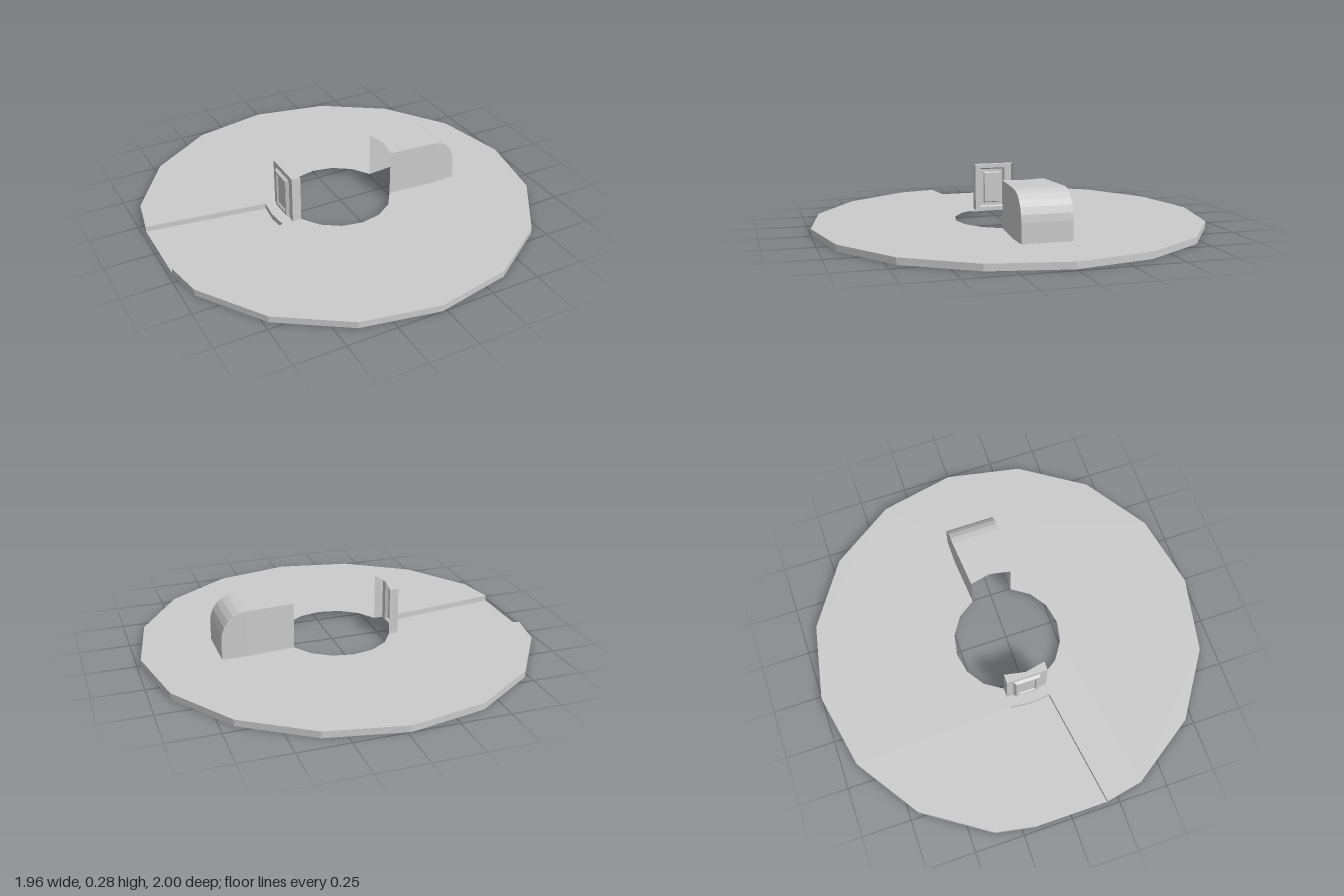
import * as THREE from 'three';

const TOP = 0.033, FLOOR = 0.004, CX = -0.02;

const material = new THREE.MeshStandardMaterial({
  color: 0xcccccc, flatShading: true, side: THREE.DoubleSide,
});

// Surface through rows of [x, y, z] points
function loft(name, rows) {
  const pos = [];
  for (let i = 0; i + 1 < rows.length; i++) {
    for (let j = 0; j + 1 < rows[i].length; j++) {
      const a = rows[i][j], b = rows[i][j + 1], c = rows[i + 1][j + 1], d = rows[i + 1][j];
      pos.push(...a, ...b, ...c, ...a, ...c, ...d);
    }
  }
  const g = new THREE.BufferGeometry();
  g.setAttribute('position', new THREE.Float32BufferAttribute(pos, 3));
  g.computeVertexNormals();
  return mesh(name, g);
}

function mesh(name, geometry) {
  const m = new THREE.Mesh(geometry, material);
  m.name = name;
  return m;
}

// Flat horizontal plate from [x, z] outlines
function plate(name, outline, y, hole) {
  const toPoints = (list) => list.map(([x, z]) => new THREE.Vector2(x, -z));
  const shape = new THREE.Shape(toPoints(outline));
  if (hole) shape.holes.push(new THREE.Path(toPoints(hole)));
  const g = new THREE.ShapeGeometry(shape);
  g.rotateX(-Math.PI / 2);
  g.translate(0, y, 0);
  return mesh(name, g);
}

// Corner k of a 16-sided ring
function corner(r, k) {
  const a = (k * Math.PI) / 8;
  return [CX + r * Math.cos(a), r * Math.sin(a)];
}

const at = (list, y) => list.map(([x, z]) => [x, y, z]);

export function createModel() {
  const model = new THREE.Group();
  model.name = 'slottedDisc';

  // Disc outline, with the leftmost corner cut flat for the channel
  const rim = [[-0.98, -0.19]];
  for (let k = -7; k <= 7; k++) rim.push(corner(1, k));
  rim.push([-0.98, 0.19]);
  const channel = [[-0.98, 0.19], [-0.375, 0.103], [-0.385, 0], [-0.375, -0.103], [-0.98, -0.19]];

  // Central hole runs out under the hood and the tab
  const hoodPlan = [[0.234, -0.105], [0.48, -0.125], [0.605, -0.125],
    [0.605, 0.125], [0.48, 0.125], [0.234, 0.105]];
  const tabPlan = [[-0.274, 0.105], [-0.32, 0.105], [-0.32, -0.105], [-0.274, -0.105]];
  const hole = [...hoodPlan];
  for (let k = 2; k <= 6; k++) hole.push(corner(0.275, k));
  hole.push(...tabPlan);
  for (let k = 10; k <= 14; k++) hole.push(corner(0.275, k));

  model.add(plate('discTop', [...rim, ...channel.slice(1, 4)], TOP, hole));
  model.add(loft('discRim', [at(rim, 0), at(rim, TOP)]));

  // Sunken tapering channel
  model.add(plate('channelFloor', channel, FLOOR));
  model.add(loft('channelWall', [at(channel, FLOOR), at(channel, TOP)]));

  // Hood: open towards the hole and underneath
  const hood = new THREE.Group();
  hood.name = 'hood';
  const profile = [[0.234, 0.27], [0.48, 0.27]];
  for (let i = 1; i <= 6; i++) {
    const a = (i / 6) * Math.PI / 2;
    profile.push([0.48 + 0.125 * Math.sin(a), 0.13 + 0.14 * Math.cos(a)]);
  }
  profile.push([0.605, TOP]);
  const halfWidth = (x) => 0.105 + 0.02 * Math.min(1, (x - 0.234) / 0.246);
  // The roof's inner edge follows the hole
  hood.add(loft('hoodRoof', profile.map(([x, y], i) => [
    [x, y, -halfWidth(x)], [i ? x : 0.255, y, 0], [x, y, halfWidth(x)],
  ])));
  for (const s of [-1, 1]) {
    hood.add(loft('hoodSide', [
      profile.map(([x, y]) => [x, y, s * halfWidth(x)]),
      profile.map(([x]) => [x, TOP, s * halfWidth(x)]),
    ]));
  }
  model.add(hood);

  // Upright tab: thin shell open towards the hole, with a pressed back panel
  const tab = new THREE.Group();
  tab.name = 'tab';
  const H = 0.275;
  tab.add(plate('tabCap', [...tabPlan, corner(0.275, 8)], H));
  for (const s of [-1, 1]) {
    const side = [[-0.274, s * 0.105], [-0.32, s * 0.105]];
    tab.add(loft('tabSide', [at(side, TOP), at(side, H)]));
  }
  const ring = (x, w, y0, y1) => [[x, y0, -w], [x, y0, w], [x, y1, w], [x, y1, -w], [x, y0, -w]];
  tab.add(loft('tabBack', [
    ring(-0.32, 0.105, TOP, H),
    ring(-0.32, 0.07, 0.038, 0.25),
    ring(-0.335, 0.06, 0.045, 0.243),
    ring(-0.335, 0.045, 0.06, 0.228),
    ring(-0.328, 0.04, 0.065, 0.222),
    ring(-0.328, 0, 0.14, 0.14),
  ]));
  model.add(tab);

  return model;
}
